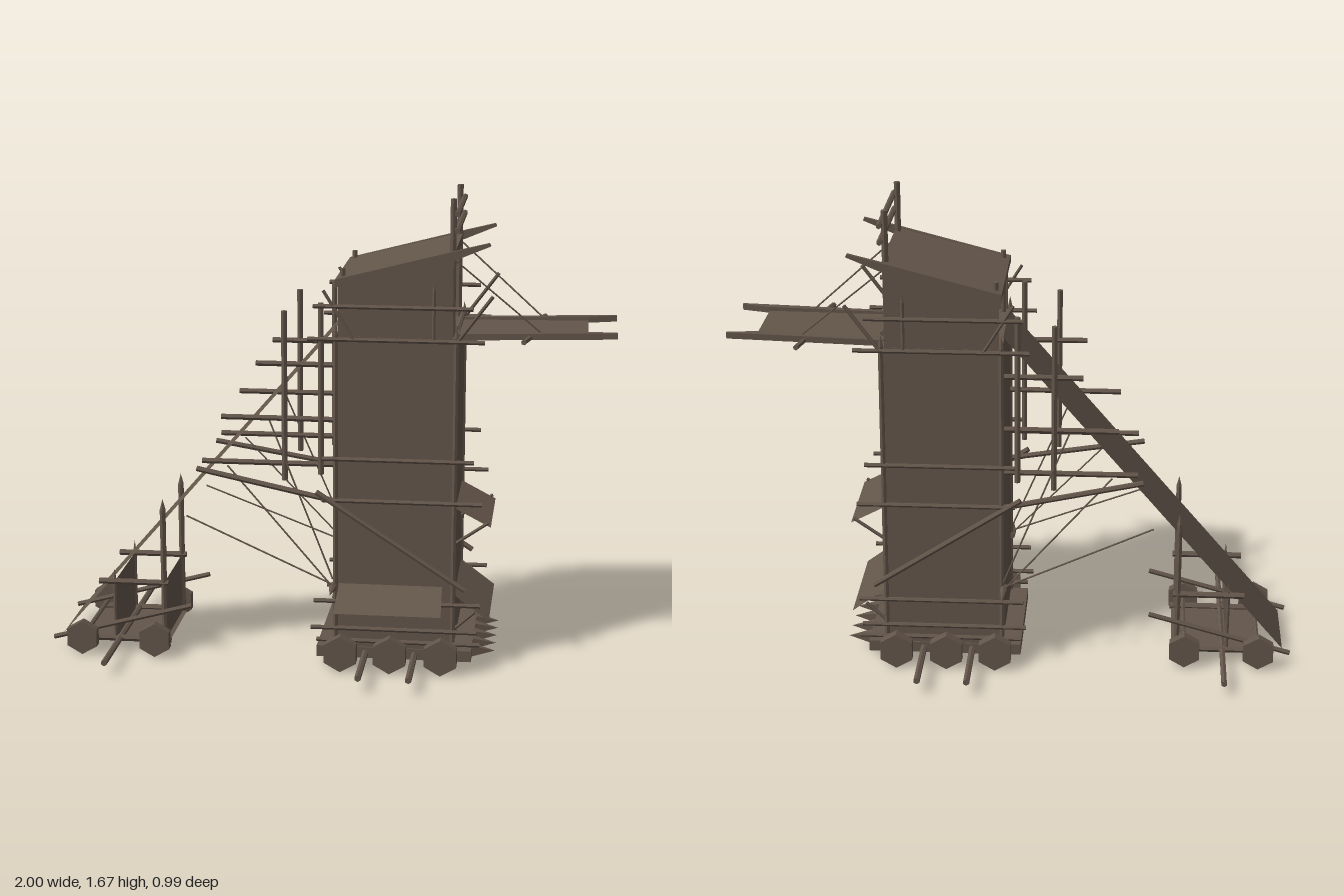
import * as THREE from 'three';

const wood = new THREE.MeshStandardMaterial({ color: 0x63554a, side: THREE.DoubleSide });
wood.name = 'darkWood';
wood.flatShading = true;

const V = (p) => new THREE.Vector3(...p);

export function createModel() {
  const root = new THREE.Group();
  root.name = 'siegeTower';

  const add = (name, geo, parent = root) => {
    const m = new THREE.Mesh(geo, wood);
    m.name = name;
    parent.add(m);
    return m;
  };
  const box = (name, [x0, x1], [y0, y1], [z0, z1]) =>
    add(name, new THREE.BoxGeometry(x1 - x0, y1 - y0, z1 - z0))
      .position.set((x0 + x1) / 2, (y0 + y1) / 2, (z0 + z1) / 2);
  // Round pole from a to b; r1 is the radius at b, point adds a sharpened tip there
  const pole = (name, a, b, r = 0.009, r1 = r, point = 0, sides = 6) => {
    const from = V(a), dir = V(b).sub(from), len = dir.length();
    const pts = [[0, 0], [r, 0], [r1, len - point], [0, len]];
    const m = add(name, new THREE.LatheGeometry(pts.map(p => new THREE.Vector2(...p)), sides));
    m.position.copy(from);
    m.quaternion.setFromUnitVectors(new THREE.Vector3(0, 1, 0), dir.normalize());
  };
  const flip = ([x, y, z]) => [x, y, -z];
  const poles = (name, a, b, ...rest) => {
    pole(name + 'Front', a, b, ...rest);
    pole(name + 'Back', flip(a), flip(b), ...rest);
  };
  // Flat board through four corners
  const board = (name, ...c) => {
    const g = new THREE.BufferGeometry();
    g.setAttribute('position', new THREE.Float32BufferAttribute(c.flat(), 3));
    g.setIndex([0, 1, 2, 0, 2, 3]);
    g.computeVertexNormals();
    add(name, g);
  };
  // Side profile in x and y, extruded from z0 by depth
  const profile = (name, pts, z0, depth) => {
    const shape = new THREE.Shape(pts.map(p => new THREE.Vector2(...p)));
    add(name, new THREE.ExtrudeGeometry(shape, { depth, bevelEnabled: false })).position.z = z0;
  };
  const wheel = (name, x, y, z, r, w) => {
    const g = new THREE.CylinderGeometry(r, r, w, 6).rotateX(Math.PI / 2);
    add(name, g).position.set(x, y, z);
  };

  // Tower body and base frame
  box('towerBody', [0.035, 0.455], [0.07, 1.2], [-0.23, 0.23]);
  box('baseFrame', [-0.03, 0.52], [0.035, 0.075], [-0.235, 0.235]);
  for (const x of [0.037, 0.453]) poles('cornerPost', [x, 0.05, 0.23], [x, 1.245, 0.23], 0.01, 0.01, 0.04);

  // Wheels and push bars
  for (const s of [-1, 1])
    for (const x of [0.06, 0.235, 0.415]) wheel('towerWheel', x, 0.066, s * 0.277, 0.066, 0.04);
  for (const x of [0.06, 0.235, 0.415]) pole('towerAxle', [x, 0.066, -0.28], [x, 0.066, 0.28], 0.01);
  for (const x of [0.145, 0.32]) pole('pushBar', [x, 0.055, -0.495], [x, 0.055, 0.495], 0.012);

  // Row of ram spikes on the leading edge
  for (let i = -2; i <= 2; i++) {
    const g = new THREE.ConeGeometry(0.028, 0.085, 4).rotateY(Math.PI / 4).rotateZ(-Math.PI / 2);
    add('ramSpike', g).position.set(0.56, 0.056, i * 0.081);
  }

  // Horizontal lashing poles along both sides: height, start, end
  for (const [y, x0, x1] of [[1.305, -0.04, 0.51], [1.19, -0.06, 0.55], [0.765, -0.01, 0.52],
    [0.615, -0.01, 0.55], [0.245, -0.04, 0.55], [0.145, -0.05, 0.54], [0.1, -0.03, 0.55]])
    poles('sideRail', [x0, y, 0.237], [x1, y, 0.237], 0.008);
  poles('diagonalBrace', [-0.03, 0.645, 0.243], [0.495, 0.303, 0.243], 0.01);
  poles('upperBraceRear', [-0.005, 1.36, 0.238], [0.1, 1.19, 0.238], 0.006);
  poles('upperBraceLead', [0.46, 1.195, 0.235], [0.575, 1.35, 0.235], 0.007);

  // Upper room: side walls, sloping roof and tapered eave beams
  for (const s of [-1, 1]) {
    profile('upperWall', [[0.045, 1.2], [0.44, 1.2], [0.44, 1.485], [0.045, 1.385]], s * 0.224 - 0.005, 0.01);
    profile('eaveBeam', [[0.035, 1.37], [0.45, 1.474], [0.565, 1.522], [0.56, 1.532], [0.45, 1.505], [0.035, 1.398]],
      s * 0.228 - 0.008, 0.016);
  }
  profile('roof', [[0.035, 1.375], [0.445, 1.472], [0.445, 1.5], [0.035, 1.398]], -0.222, 0.444);
  poles('rearRoofPost', [0.058, 1.2, 0.19], [0.058, 1.43, 0.19], 0.01);
  poles('sidePost', [0.375, 1.19, 0.235], [0.375, 1.395, 0.235], 0.007, 0.007, 0.03);

  // Lookout frame
  poles('lookoutPost', [0.435, 1.2, 0.187], [0.435, 1.675, 0.187], 0.012);
  for (const y of [1.57, 1.628]) pole('lookoutRail', [0.45, y, -0.222], [0.45, y, 0.222], 0.01);

  // Drawbridge with tapered side beams, cross sticks and ropes
  board('drawbridgeDeck', [0.45, 1.195, 0.16], [0.9, 1.203, 0.16], [0.9, 1.203, -0.16], [0.45, 1.195, -0.16]);
  for (const s of [-1, 1]) {
    const shape = new THREE.Shape([[0.45, 0.165], [1, 0.165], [1, 0.155], [0.9, 0.135], [0.45, 0.145]]
      .map(([x, z]) => new THREE.Vector2(x, -s * z)));
    const g = new THREE.ExtrudeGeometry(shape, { depth: 0.022, bevelEnabled: false }).rotateX(-Math.PI / 2);
    const p = g.attributes.position;
    for (let i = 0; i < p.count; i++) p.setY(i, p.getY(i) + 1.182 + (p.getX(i) - 0.45) * 0.03);
    g.computeVertexNormals();
    add('drawbridgeBeam', g);
  }
  pole('drawbridgeHingeBar', [0.455, 1.225, -0.155], [0.455, 1.225, 0.155], 0.009);
  pole('crossStickBack', [0.725, 1.196, -0.14], [0.745, 1.196, -0.24], 0.01);
  pole('crossStickFront', [0.705, 1.196, 0.14], [0.682, 1.196, 0.24], 0.01);
  poles('drawbridgeRope', [0.44, 1.47, 0.2], [0.745, 1.205, 0.14], 0.003);

  // Hinged shutters with prop sticks
  board('frontShutter', [0.05, 0.31, 0.232], [0.415, 0.31, 0.232], [0.42, 0.243, 0.37], [0.045, 0.243, 0.37]);
  for (const [y0, y1, z, py] of [[0.585, 0.52, 0.187, 0.455], [0.275, 0.182, 0.21, 0.145]]) {
    board('leadShutter', [0.456, y0, z], [0.58, y1, z], [0.58, y1, -z], [0.456, y0, -z]);
    poles('shutterProp', [0.455, py, z - 0.005], [0.455 + (y1 > 0.4 ? 0.115 : 0.075), py + (y1 > 0.4 ? 0.08 : 0.068), z - 0.005], 0.006);
  }

  // Rear ramp
  board('rearRamp', [-0.975, 0.05, 0.155], [0.035, 1.22, 0.155], [0.035, 1.22, -0.155], [-0.975, 0.05, -0.155]);

  // Scaffold carrying the ramp
  for (const [x, y] of [[-0.44, 0.735], [-0.37, 0.897], [-0.245, 1.092]])
    poles('scaffoldBeam', [x, y, 0.2], [0.045, y, 0.2], 0.01);
  poles('scaffoldPostOuter', [-0.145, 0.675, 0.205], [-0.145, 1.28, 0.205], 0.011);
  poles('scaffoldPostInner', [-0.017, 0.7, 0.205], [-0.017, 1.31, 0.205], 0.011);
  poles('scaffoldBrace', [-0.46, 0.705, 0.2], [0.04, 0.612, 0.235], 0.01);

  // Rope stakes and guy ropes
  poles('ropeStake', [0.03, 0.3, 0.215], [0.03, 0.3, 0.34], 0.011, 0.013, 0.075);
  for (const [x, y, yEnd] of [[-0.5, 0.53, 0.31], [-0.35, 0.72, 0.3], [-0.2, 0.89, 0.33]])
    poles('guyRope', [x, y, 0.2], [0.03, yEnd, 0.25], 0.003);

  // Support cart under the ramp
  for (const s of [-1, 1])
    for (const x of [-0.885, -0.62]) wheel('cartWheel', x, 0.066, s * 0.218, 0.062, 0.036);
  for (const x of [-0.885, -0.62]) pole('cartAxle', [x, 0.066, -0.22], [x, 0.066, 0.22], 0.008);
  pole('cartPushBar', [-0.758, 0.05, -0.44], [-0.758, 0.05, 0.44], 0.011);
  board('cartFloor', [-0.89, 0.045, 0.17], [-0.575, 0.045, 0.17], [-0.575, 0.045, -0.17], [-0.89, 0.045, -0.17]);
  poles('cartSill', [-0.895, 0.05, 0.172], [-0.57, 0.05, 0.172], 0.012);
  poles('cartRail', [-0.83, 0.265, 0.172], [-0.575, 0.265, 0.172], 0.011);
  poles('cartSlantBeam', [-1, 0.048, 0.183], [-0.49, 0.187, 0.183], 0.009);
  poles('cartShortPost', [-0.773, 0.04, 0.172], [-0.773, 0.315, 0.172], 0.007, 0.007, 0.05);
  poles('cartTallPost', [-0.592, 0.05, 0.172], [-0.592, 0.58, 0.172], 0.011, 0.011, 0.04);
  for (const x of [-0.773, -0.592])
    board('cartPanel', [x, 0.045, 0.17], [x, 0.265, 0.17], [x, 0.265, -0.17], [x, 0.045, -0.17]);

  return root;
}
